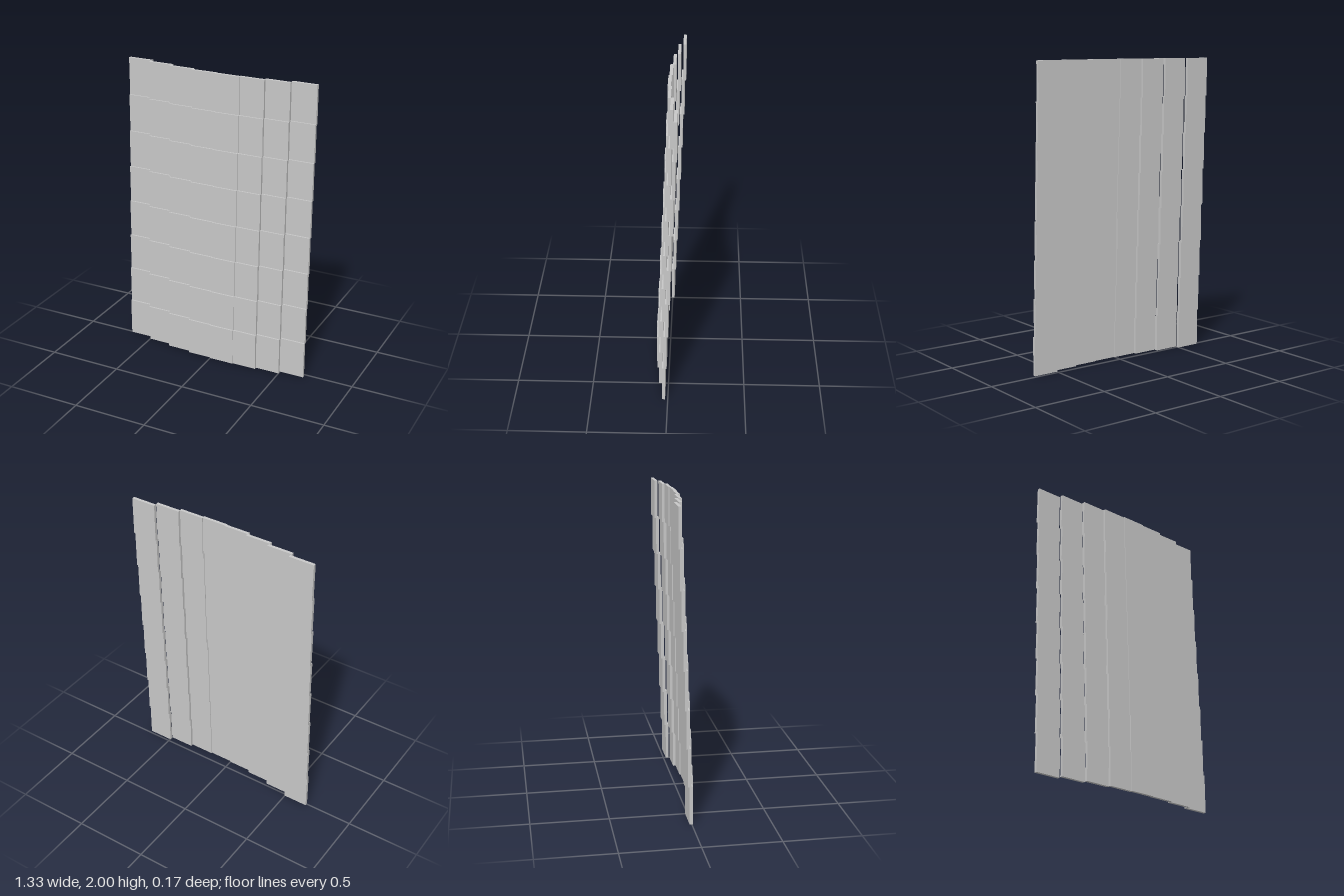
import * as THREE from 'three';

export function createModel() {
  const model = new THREE.Group();
  model.name = 'curvedTilePanel';
  const grey = new THREE.MeshStandardMaterial({ color: 0xc7c7c7 });
  grey.name = 'lightGrey';

  const count = 8, overlap = 1.02, thickness = 0.02;
  const pitchX = 4 / 3 / (count - 1 + overlap);
  const pitchY = 2 / (count - 1 + overlap);
  const height = pitchY * overlap;
  const bulge = 0.0815; // how far the middle columns stand forward
  const lean = 0.0105; // each row steps back by this much
  const tile = new THREE.BoxGeometry(pitchX * overlap, height, thickness);
  const frontZ = 0.0875 - thickness / 2;

  // Rows of slightly overlapping flat tiles, bowed across and leaning back
  for (let row = 0; row < count; row++) {
    const rowGroup = new THREE.Group();
    rowGroup.name = `tileRow${row + 1}`;
    for (let col = 0; col < count; col++) {
      const mesh = new THREE.Mesh(tile, grey);
      mesh.name = `tile${col + 1}`;
      const bow = bulge * (Math.sin((Math.PI * col) / count) - 1);
      mesh.position.set((col - 3.5) * pitchX, height / 2 + row * pitchY, frontZ + bow - row * lean);
      rowGroup.add(mesh);
    }
    model.add(rowGroup);
  }
  return model;
}
